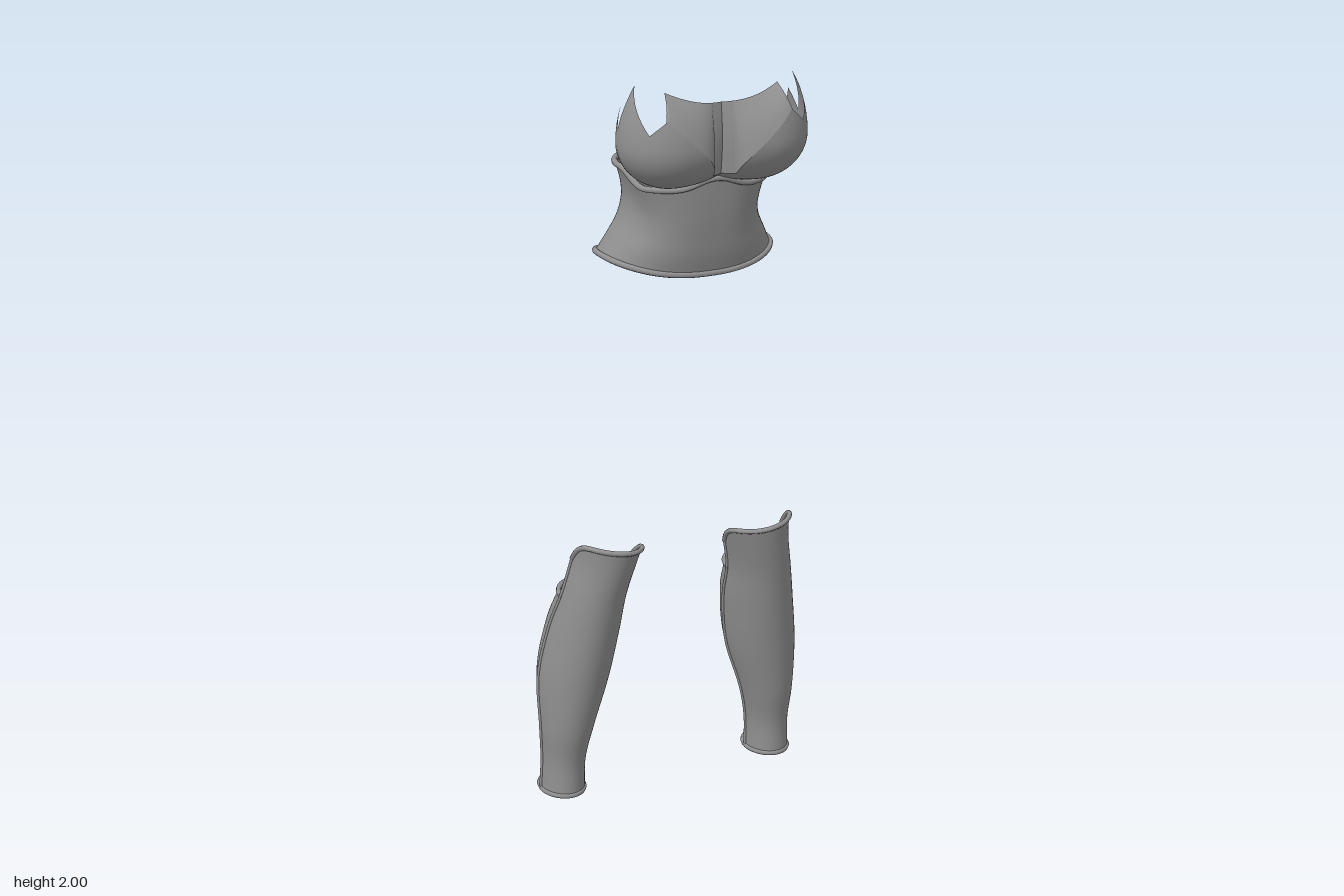
import * as THREE from 'three';
import { mergeVertices } from 'three/addons/utils/BufferGeometryUtils.js';

const material = new THREE.MeshStandardMaterial({ color: 0x919191, side: THREE.DoubleSide });
const rad = THREE.MathUtils.degToRad;

function mesh(name, geometry) {
  const m = new THREE.Mesh(geometry, material);
  m.name = name;
  return m;
}

// Smooth sheet from a rule fn(u, v) -> [x, y, z]
function sheet(name, fn, nu, nv, flip = false) {
  const pos = [], idx = [];
  for (let j = 0; j <= nv; j++)
    for (let i = 0; i <= nu; i++) pos.push(...fn(i / nu, j / nv));
  for (let j = 0; j < nv; j++)
    for (let i = 0; i < nu; i++) {
      const a = j * (nu + 1) + i, b = a + 1, c = a + nu + 1, d = c + 1;
      if (flip) idx.push(a, c, b, b, c, d);
      else idx.push(a, b, c, b, d, c);
    }
  let g = new THREE.BufferGeometry();
  g.setAttribute('position', new THREE.Float32BufferAttribute(pos, 3));
  g.setIndex(idx);
  g = mergeVertices(g, 1e-5);
  g.computeVertexNormals();
  return mesh(name, g);
}

// Rounded rim following fn(u) -> [x, y, z]
function rim(name, fn, n, radius, closed = false) {
  const pts = [];
  for (let i = 0; i < (closed ? n : n + 1); i++) pts.push(new THREE.Vector3(...fn(i / n)));
  const curve = new THREE.CatmullRomCurve3(pts, closed);
  return mesh(name, new THREE.TubeGeometry(curve, n * 2, radius, 8, closed));
}

// Interpolation through rows [key, a, b, ...], smooth or straight
function sample(rows, k, smooth = true) {
  const last = rows.length - 1;
  let i = 0;
  while (i < last - 1 && k > rows[i + 1][0]) i++;
  const p = rows[i], q = rows[i + 1], h = q[0] - p[0];
  const t = THREE.MathUtils.clamp((k - p[0]) / h, 0, 1);
  const slope = (n, c) => {
    const a = rows[Math.max(n - 1, 0)], b = rows[Math.min(n + 1, last)];
    return (b[c] - a[c]) / (b[0] - a[0]) * h;
  };
  return p.slice(1).map((a, n) => {
    const c = n + 1, b = q[c];
    if (!smooth) return a + (b - a) * t;
    const t2 = t * t, t3 = t2 * t;
    return a * (2 * t3 - 3 * t2 + 1) + slope(i, c) * (t3 - 2 * t2 + t)
      + b * (3 * t2 - 2 * t3) + slope(i + 1, c) * (t3 - t2);
  });
}

// ---- Waist: flared, slightly boxy tube. Rows: height fraction, half width, front z, back z
const WAIST = [
  [0, 0.229, 0.124, -0.187], [0.2, 0.204, 0.138, -0.168], [0.4, 0.181, 0.147, -0.152],
  [0.6, 0.171, 0.155, -0.143], [0.8, 0.176, 0.161, -0.139], [1, 0.19, 0.166, -0.145],
];

function waistPoint(u, v) {
  const a = u * Math.PI * 2, s = Math.sin(a), c = Math.cos(a);
  const [rx, zf, zb] = sample(WAIST, v);
  const box = (n) => Math.sign(n) * Math.pow(Math.abs(n), 0.86);
  const mid = (zf + zb) / 2, notch = 0.01 * Math.exp(-((s / 0.15) ** 2));
  const z = mid + box(c) * ((zf - zb) / 2 - (c < 0 ? notch : 0));
  const bottom = 1.533 - 0.036 * c * c;
  // the top dips under each cup and rises to a point between them
  const dip = 0.04 * THREE.MathUtils.smoothstep(c, 0, 0.55);
  const top = 1.766 - dip + (c > 0 ? 0.026 * Math.exp(-((s / 0.28) ** 2)) : 0);
  return [rx * box(s), bottom + (top - bottom) * v, z];
}

function buildWaist() {
  const g = new THREE.Group();
  g.name = 'waistPiece';
  g.add(sheet('waistShell', waistPoint, 72, 20));
  g.add(rim('waistTopRim', (u) => waistPoint(u, 1), 60, 0.008, true));
  g.add(rim('waistBottomRim', (u) => waistPoint(u, 0), 60, 0.008, true));
  return g;
}

// ---- Bust: rounded cups whose top edge rises into pointed petals
const PETALS = [ // angle from the front, edge height
  [24, 1.925], [44, 1.89], [84, 2.0], [98, 1.89],
  [111, 1.945], [121, 1.885], [135, 1.86],
];

function cupPoint(side, deg, v) {
  const a = rad(deg), s = Math.sin(a), bottom = 1.735, middle = 1.85;
  const reach = s < 0 ? 0.2 : 0.135;
  const across = Math.max(0, 0.115 + reach * s);
  const top = deg > 24 ? sample(PETALS, deg, false)[0] : 1.77 + 0.155 * across / 0.17;
  // even spacing along the round underside
  const y = bottom + (top - bottom) * (1 - Math.cos(v * Math.PI / 2));
  const r = y < middle
    ? Math.sqrt(Math.max(0, 1 - ((middle - y) / (middle - bottom)) ** 2))
    : 1 - 0.28 * ((y - middle) / 0.15) ** 2;
  return [side * Math.max(0, 0.115 + reach * r * s), y, 0.14 + 0.12 * r * Math.cos(a)];
}

// Chest panel between cup edge and neckline, ending in a small point by the petal
function chestPoint(side, u, v) {
  const [x, y, z] = cupPoint(side, -54 + u * 80, 1);
  const topX = x * 0.89;
  const topY = 1.948 + 0.034 * (topX / 0.148) ** 2;
  const topZ = 0.19 + 0.014 * Math.sin(Math.min(1, Math.abs(x) / 0.17) * Math.PI);
  const bulge = 0.008 * Math.sin(v * Math.PI);
  return [x + (topX - x) * v, y + (topY - y) * v, z + (topZ - z) * v + bulge];
}

function buildBust() {
  const g = new THREE.Group();
  g.name = 'bustPiece';
  for (const side of [1, -1]) {
    const label = side > 0 ? 'left' : 'right';
    g.add(sheet(label + 'Cup', (u, v) => cupPoint(side, -75 + u * 210, v), 210, 18, side < 0));
    g.add(sheet(label + 'ChestPanel', (u, v) => chestPoint(side, u, v), 40, 8, side < 0));
  }
  return g;
}

// ---- Greaves. Rows: height, centre x, half width, front z, back z
const LEG = [
  [0, 0.31, 0.057, -0.08, -0.228], [0.1, 0.307, 0.056, -0.074, -0.224],
  [0.2, 0.3, 0.069, -0.05, -0.227], [0.35, 0.279, 0.092, -0.02, -0.262],
  [0.5, 0.257, 0.091, 0.01, -0.24], [0.6, 0.243, 0.083, 0.03, -0.191],
  [0.7, 0.222, 0.084, 0.052, -0.165], [0.77, 0.21, 0.09, 0.066, -0.13],
];

function legPoint(side, deg, y, grow = 0) {
  const [cx, rx, zf, zb] = sample(LEG, y), a = rad(deg);
  return [side * (cx + (rx + grow) * Math.sin(a)), y,
    (zf + zb) / 2 + ((zf - zb) / 2 + grow) * Math.cos(a)];
}

function buildGreave(side) {
  const g = new THREE.Group();
  const label = side > 0 ? 'left' : 'right';
  g.name = label + 'Greave';
  const low = 0.009, calfTop = 0.592;
  // shin plate top: rounded corners, lower on the inner side
  const shinTop = (deg) => 0.751 + 0.014 * Math.sin(rad(deg)) - 0.055 * Math.abs(deg / 93) ** 8;
  const shin = (u, v) => {
    const deg = -93 + 186 * u;
    return legPoint(side, deg, low + (shinTop(deg) - low) * v, 0.003);
  };
  const calf = (u, v) => legPoint(side, 90 + 180 * u, low + (calfTop - low) * v, -0.001);

  g.add(sheet('shinPlate', shin, 36, 36, side < 0));
  g.add(sheet('calfPlate', calf, 36, 30, side < 0));
  g.add(rim('shinTopRim', (u) => shin(u, 1), 36, 0.007));
  g.add(rim('calfTopRim', (u) => calf(u, 1), 30, 0.007));
  g.add(rim('ankleRim', (u) => legPoint(side, u * 360, low), 40, 0.008, true));
  for (const end of [0, 1]) g.add(rim('shinSideRim', (v) => shin(end, v), 30, 0.005));
  return g;
}

export function createModel() {
  const model = new THREE.Group();
  model.name = 'armourSet';
  model.add(buildWaist(), buildBust(), buildGreave(1), buildGreave(-1));
  return model;
}
